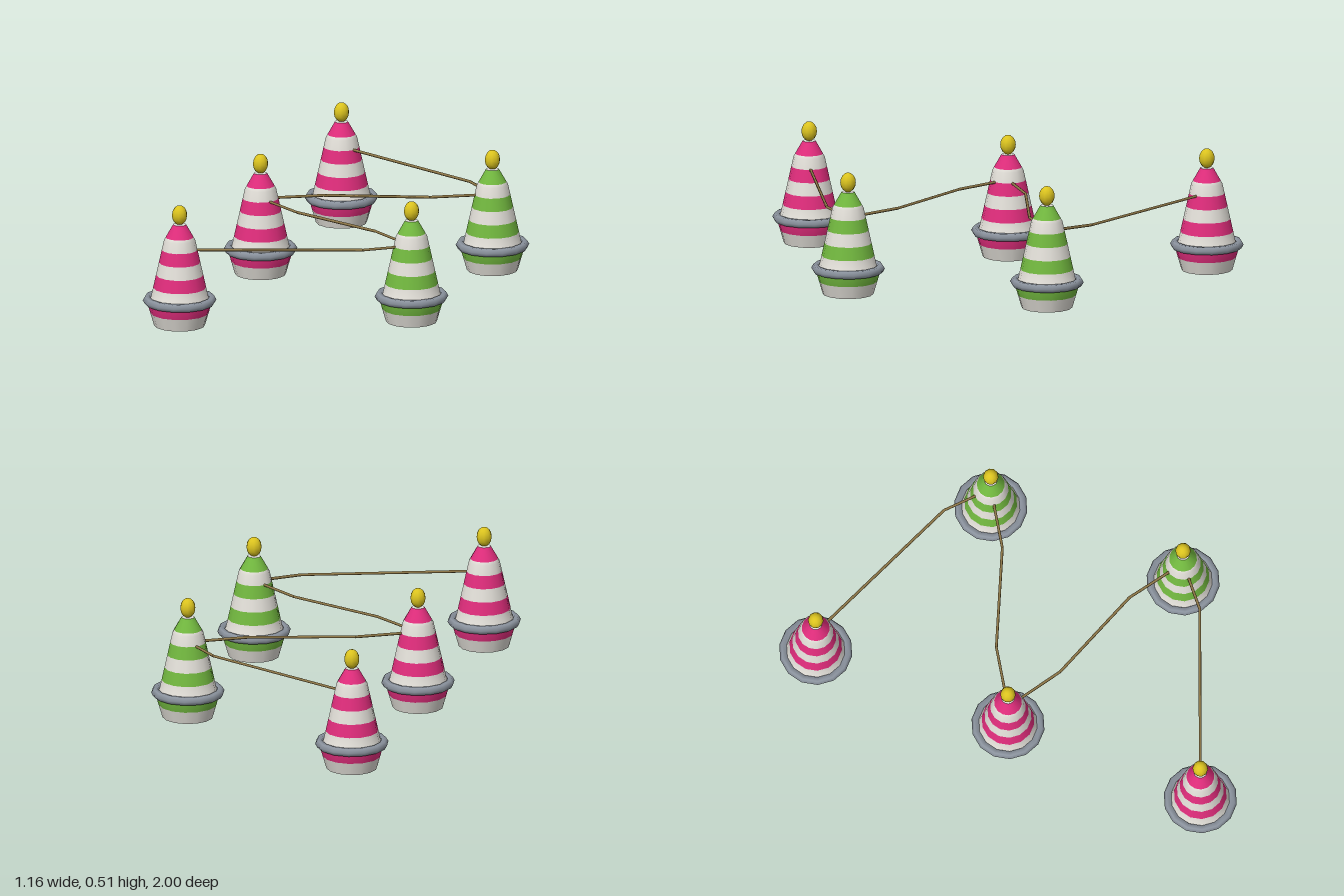
import * as THREE from 'three';

const SIDES = 14;
const mat = (name, color) => {
  const m = new THREE.MeshStandardMaterial({ color });
  m.name = name;
  return m;
};

// Outline of the buoy body as [height, radius], bottom to top
const PROFILE = [[0, 0.105], [0.1, 0.134], [0.12, 0.118], [0.363, 0.064], [0.428, 0.027]];
const BANDS = 8;
const TOP = 0.428;

function radiusAt(y) {
  for (let i = 1; i < PROFILE.length; i++) {
    const [y0, r0] = PROFILE[i - 1], [y1, r1] = PROFILE[i];
    if (y <= y1 + 1e-6) return r0 + (r1 - r0) * (y - y0) / (y1 - y0);
  }
  return PROFILE[PROFILE.length - 1][1];
}

export function createModel() {
  const model = new THREE.Group();
  model.name = 'buoyChain';
  const pink = mat('pink', 0xe02d7c);
  const green = mat('green', 0x72b83f);
  const white = mat('white', 0xe2dfd8);
  const grey = mat('greyRing', 0x8b939e);
  const yellow = mat('yellow', 0xdcc41f);
  const ropeBrown = mat('ropeBrown', 0x8f7848);

  const add = (parent, name, geometry, material) => {
    const mesh = new THREE.Mesh(geometry, material);
    mesh.name = name;
    parent.add(mesh);
    return mesh;
  };

  function makeBuoy(x, z, color) {
    const buoy = new THREE.Group();
    buoy.name = 'buoy';
    buoy.position.set(x, 0, z);

    // Alternating stripes, starting with white at the bottom
    for (let b = 0; b < BANDS; b++) {
      const y0 = TOP * b / BANDS, y1 = TOP * (b + 1) / BANDS;
      const ys = [y0, ...PROFILE.map(p => p[0]).filter(y => y > y0 + 1e-4 && y < y1 - 1e-4), y1];
      const pts = ys.map(y => new THREE.Vector2(radiusAt(y), y));
      add(buoy, 'stripe', new THREE.LatheGeometry(pts, SIDES, Math.PI / 2), b % 2 ? color : white);
    }

    // Flat ends of the body
    const base = add(buoy, 'base', new THREE.CircleGeometry(PROFILE[0][1], SIDES), white);
    base.rotation.x = Math.PI / 2;
    const cap = add(buoy, 'topCap', new THREE.CircleGeometry(radiusAt(TOP), SIDES), white);
    cap.rotation.x = -Math.PI / 2;
    cap.position.y = TOP;

    // Bumper ring around the widest part
    const ring = add(buoy, 'bumperRing', new THREE.TorusGeometry(0.1335, 0.018, 6, SIDES), grey);
    ring.rotation.x = Math.PI / 2;
    ring.position.y = 0.107;

    // Lamp on top
    const lamp = add(buoy, 'lamp', new THREE.SphereGeometry(1, 10, 8), yellow);
    lamp.scale.set(0.032, 0.041, 0.032);
    lamp.position.y = 0.468;
    model.add(buoy);
  }

  // Five buoys in a zigzag
  const D = 0.4265;
  for (let i = -2; i <= 2; i++) {
    const odd = i % 2 !== 0;
    makeBuoy(odd ? D : -D, i * D, odd ? green : pink);
  }

  // Ropes between the buoys, bent in plan
  const ropeY = 0.32;
  const paths = [
    [[-D, -2 * D], [0.267, -0.569], [D, -D]],
    [[D, -D], [0.207, -0.285], [-0.204, -0.143], [-D, 0]],
    [[-D, 0], [-0.204, 0.14], [0.204, 0.28], [D, D]],
    [[D, D], [0.267, 0.566], [-D, 2 * D]],
  ];
  for (const path of paths) {
    const rope = new THREE.Group();
    rope.name = 'rope';
    for (let i = 1; i < path.length; i++) {
      const a = new THREE.Vector3(path[i - 1][0], ropeY, path[i - 1][1]);
      const b = new THREE.Vector3(path[i][0], ropeY, path[i][1]);
      const dir = b.clone().sub(a);
      const part = add(rope, 'ropeSegment', new THREE.CylinderGeometry(0.006, 0.006, dir.length(), 6), ropeBrown);
      part.position.copy(a).add(b).multiplyScalar(0.5);
      part.quaternion.setFromUnitVectors(new THREE.Vector3(0, 1, 0), dir.normalize());
    }
    model.add(rope);
  }
  return model;
}
